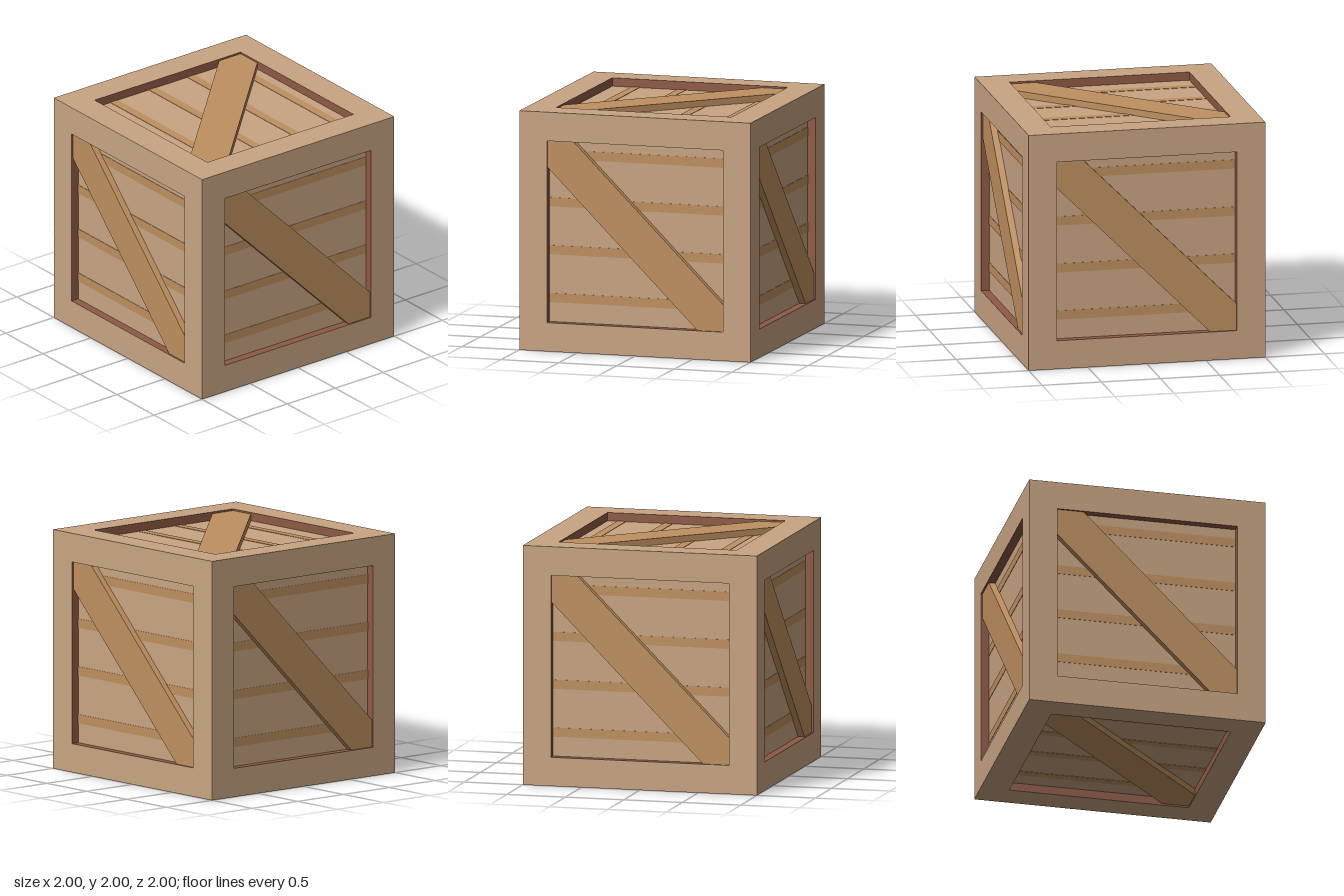
import * as THREE from 'three';

const HALF = 1;       // half of the crate's side
const INNER = 0.76;   // half of the recessed opening
const FLOOR = 0.93;   // height of the recessed panel from the centre
const BRACE = 0.985;  // height of the brace's outer face
const CUT = 0.225;    // how far the brace reaches along the opening's edges

function material(name, color) {
  const m = new THREE.MeshStandardMaterial({ color });
  m.name = name;
  return m;
}

function polygon(points) {
  return new THREE.Shape(points.map(([x, y]) => new THREE.Vector2(x, y)));
}

function square(h) {
  return [[-h, -h], [h, -h], [h, h], [-h, h]];
}

export function createModel() {
  const wood = material('paleWood', 0xc9a583);
  const darkWood = material('braceWood', 0xbf9060);
  const redWood = material('recessWood', 0x8f5a45);

  // Shared geometries, all drawn for a side that faces +z
  const frameShape = polygon(square(HALF));
  frameShape.holes.push(polygon(square(INNER).reverse()));
  const frameGeo = new THREE.ShapeGeometry(frameShape);
  const panelGeo = new THREE.PlaneGeometry(INNER * 2, INNER * 2);
  const wallGeo = new THREE.PlaneGeometry(INNER * 2, HALF - FLOOR);
  const grooveGeo = new THREE.BoxGeometry(INNER * 2, 0.076, 0.004);
  const braceGeo = new THREE.ExtrudeGeometry(polygon([
    [-INNER, INNER], [-INNER, INNER - CUT], [INNER - CUT, -INNER],
    [INNER, -INNER], [INNER, -INNER + CUT], [-INNER + CUT, INNER],
  ]), { depth: BRACE - FLOOR, bevelEnabled: false });

  function makeSide(name) {
    const side = new THREE.Group();
    side.name = name;
    const add = (part, geo, mat, x, y, z) => {
      const mesh = new THREE.Mesh(geo, mat);
      mesh.name = part;
      mesh.position.set(x, y, z);
      side.add(mesh);
      return mesh;
    };
    add('frame', frameGeo, wood, 0, 0, HALF);
    add('panel', panelGeo, wood, 0, 0, FLOOR);

    // Four inner walls of the recess, turned to face its middle
    for (let i = 0; i < 4; i++) {
      const pivot = new THREE.Group();
      pivot.name = 'recessWall';
      pivot.rotation.z = i * Math.PI / 2;
      const wall = new THREE.Mesh(wallGeo, redWood);
      wall.name = 'recessWallFace';
      wall.position.set(0, -INNER, (HALF + FLOOR) / 2);
      wall.rotation.x = -Math.PI / 2;
      pivot.add(wall);
      side.add(pivot);
    }

    // Dark gaps between the boards
    for (const y of [-0.56, -0.16, 0.24, 0.64]) {
      add('boardGap', grooveGeo, darkWood, 0, y, FLOOR + 0.001);
    }
    add('diagonalBrace', braceGeo, darkWood, 0, 0, FLOOR);
    return side;
  }

  const model = new THREE.Group();
  model.name = 'crate';
  const q = Math.PI / 2;
  const sides = [
    ['frontSide', 0, 0], ['leftSide', 0, q], ['backSide', 0, 2 * q],
    ['rightSide', 0, -q], ['topSide', -q, 0], ['bottomSide', q, 0],
  ];
  for (const [name, rx, ry] of sides) {
    const side = makeSide(name);
    side.rotation.set(rx, ry, 0);
    side.position.y = HALF;
    model.add(side);
  }
  return model;
}
